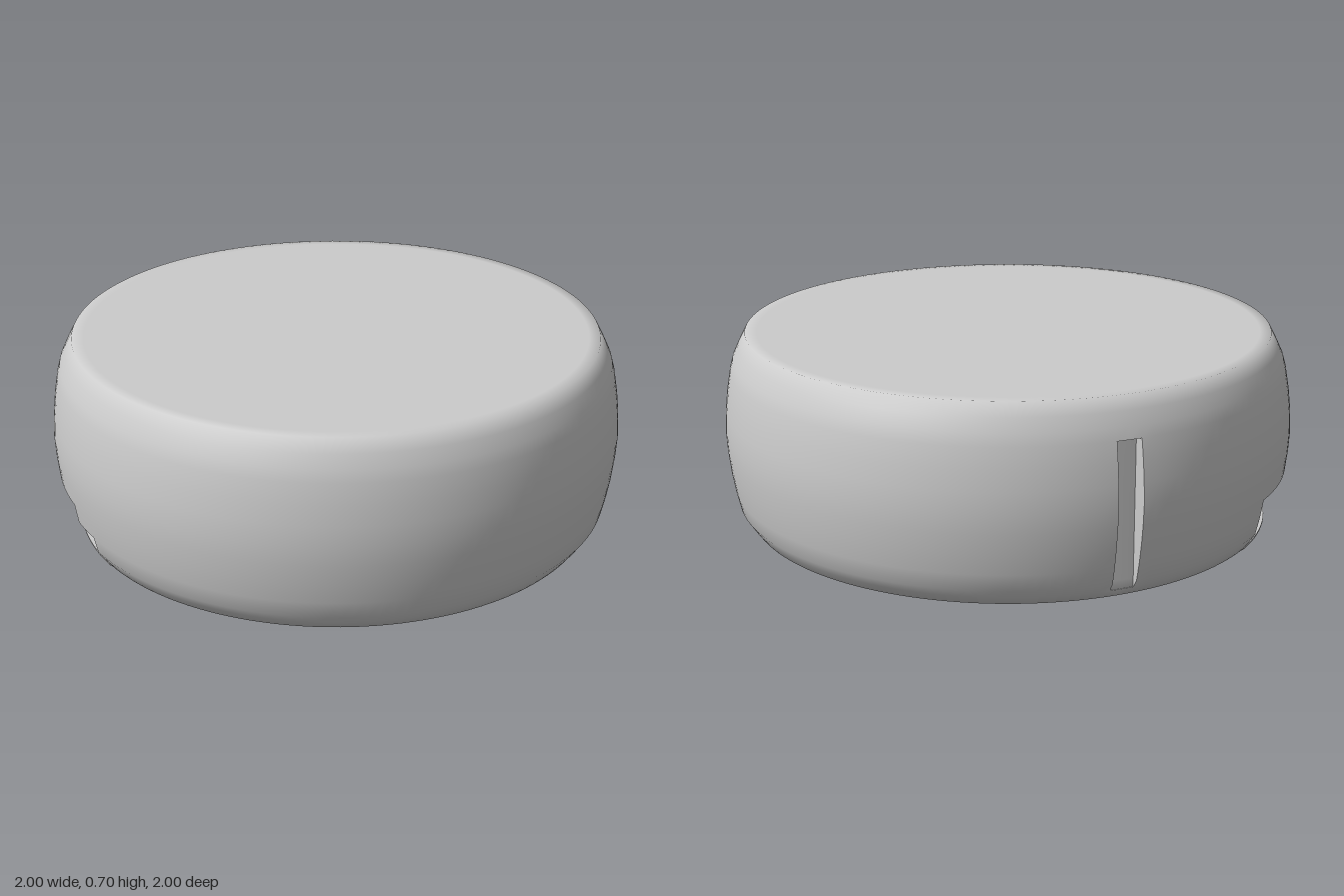
import * as THREE from 'three';
import { toCreasedNormals } from 'three/addons/utils/BufferGeometryUtils.js';

const STEP = 2.5, COUNT = 144;
const AXIS = -35;          // direction the large recess faces, degrees from +z
const POCKET = 0.75;       // back wall radius of the large recess
const SLOT = 0.94;         // floor radius of the narrow side slot
// side profile: [height, radius]
const PROFILE = [
  [0.03, 0.92], [0.06, 0.942], [0.09, 0.962], [0.15, 0.976], [0.22, 0.988], [0.29, 0.996], [0.36, 1],
  [0.43, 0.996], [0.5, 0.988], [0.57, 0.976], [0.61, 0.965], [0.655, 0.944], [0.7, 0.92],
];
const rad = THREE.MathUtils.degToRad;

function polar(deg, r, y) {
  return [r * Math.sin(rad(deg)), y, r * Math.cos(rad(deg))];
}

// Slides a rim angle inwards so the recess ends stay parallel to its axis
function parallelPoint(deg, r, y) {
  const s = Math.sin(rad(deg - AXIS)) * 0.92 / r;
  return polar(AXIS + THREE.MathUtils.radToDeg(Math.asin(s)), r, y);
}

function makeGeometry(build, crease) {
  const pos = [];
  const tri = (...p) => p.forEach((v) => pos.push(...v));
  const quad = (a, b, c, d) => { tri(a, b, c); tri(a, c, d); };
  build(quad, tri);
  const g = new THREE.BufferGeometry();
  g.setAttribute('position', new THREE.Float32BufferAttribute(pos, 3));
  return toCreasedNormals(g, crease);
}

// Which surface a side cell belongs to: outer skin, stepped recess or slot
function kindOf(deg, y) {
  if (deg > -62.5 && deg < -15 && y < 0.22) return 'recess';
  if (deg > -15 && deg < -7.5 && y < 0.15) return 'recess';
  if (deg > -102.5 && deg < -97.5 && y > 0.06 && y < 0.57) return 'slot';
  return 'skin';
}

function sidePoint(deg, j, kind) {
  const [y, r] = PROFILE[j];
  if (kind === 'recess') return parallelPoint(deg, POCKET, y);
  return polar(deg, kind === 'slot' ? SLOT : r, y);
}

function bodyGeometry() {
  return makeGeometry((quad, tri) => {
    const rows = PROFILE.length - 1;
    const kind = (i, j) =>
      kindOf(-180 + (i % COUNT + 0.5) * STEP, (PROFILE[j][0] + PROFILE[j + 1][0]) / 2);
    for (let i = 0; i < COUNT; i++) {
      const a = -180 + i * STEP, b = a + STEP;
      for (let j = 0; j < rows; j++) {
        const k = kind(i, j), next = kind(i + 1, j);
        quad(sidePoint(a, j, k), sidePoint(b, j, k), sidePoint(b, j + 1, k), sidePoint(a, j + 1, k));
        // walls where neighbouring cells lie at different depths
        if (next !== k) {
          quad(sidePoint(b, j, k), sidePoint(b, j, next), sidePoint(b, j + 1, next), sidePoint(b, j + 1, k));
        }
        const up = j + 1 < rows ? kind(i, j + 1) : k;
        if (up !== k) {
          quad(sidePoint(a, j + 1, k), sidePoint(b, j + 1, k), sidePoint(b, j + 1, up), sidePoint(a, j + 1, up));
        }
      }
      // flat top and bottom, each with a narrow ring that softens the rim
      const [lo, hi] = [PROFILE[0], PROFILE[rows]];
      quad(polar(a, hi[1], hi[0]), polar(b, hi[1], hi[0]), polar(b, 0.88, hi[0]), polar(a, 0.88, hi[0]));
      tri(polar(a, 0.88, hi[0]), polar(b, 0.88, hi[0]), [0, hi[0], 0]);
      quad(polar(b, lo[1], lo[0]), polar(a, lo[1], lo[0]), polar(a, 0.88, lo[0]), polar(b, 0.88, lo[0]));
      tri(polar(b, 0.88, lo[0]), polar(a, 0.88, lo[0]), [0, lo[0], 0]);
    }
  }, 1.2);
}

// Thin wedge under the recess: its top is the recess floor
function footGeometry() {
  const section = [[0.92, 0.026], [0.92, 0.032], [POCKET, 0.032], [POCKET, 0]];
  return makeGeometry((quad) => {
    const ring = (deg) => section.map(([r, y]) => parallelPoint(deg, r, y));
    for (let deg = -62.5; deg < -7.5; deg += STEP) {
      const p = ring(deg), q = ring(deg + STEP);
      for (let k = 0; k < 4; k++) {
        const n = (k + 1) % 4;
        quad(p[k], q[k], q[n], p[n]);
      }
    }
    const s = ring(-62.5), e = ring(-7.5);
    quad(s[0], s[1], s[2], s[3]);
    quad(e[3], e[2], e[1], e[0]);
  }, 0.6);
}

export function createModel() {
  const group = new THREE.Group();
  group.name = 'roundPuck';
  const material = new THREE.MeshStandardMaterial({ color: 0xcccccc });
  const add = (name, geometry) => {
    const mesh = new THREE.Mesh(geometry, material);
    mesh.name = name;
    group.add(mesh);
  };
  add('body', bodyGeometry());
  add('recessFoot', footGeometry());
  return group;
}
